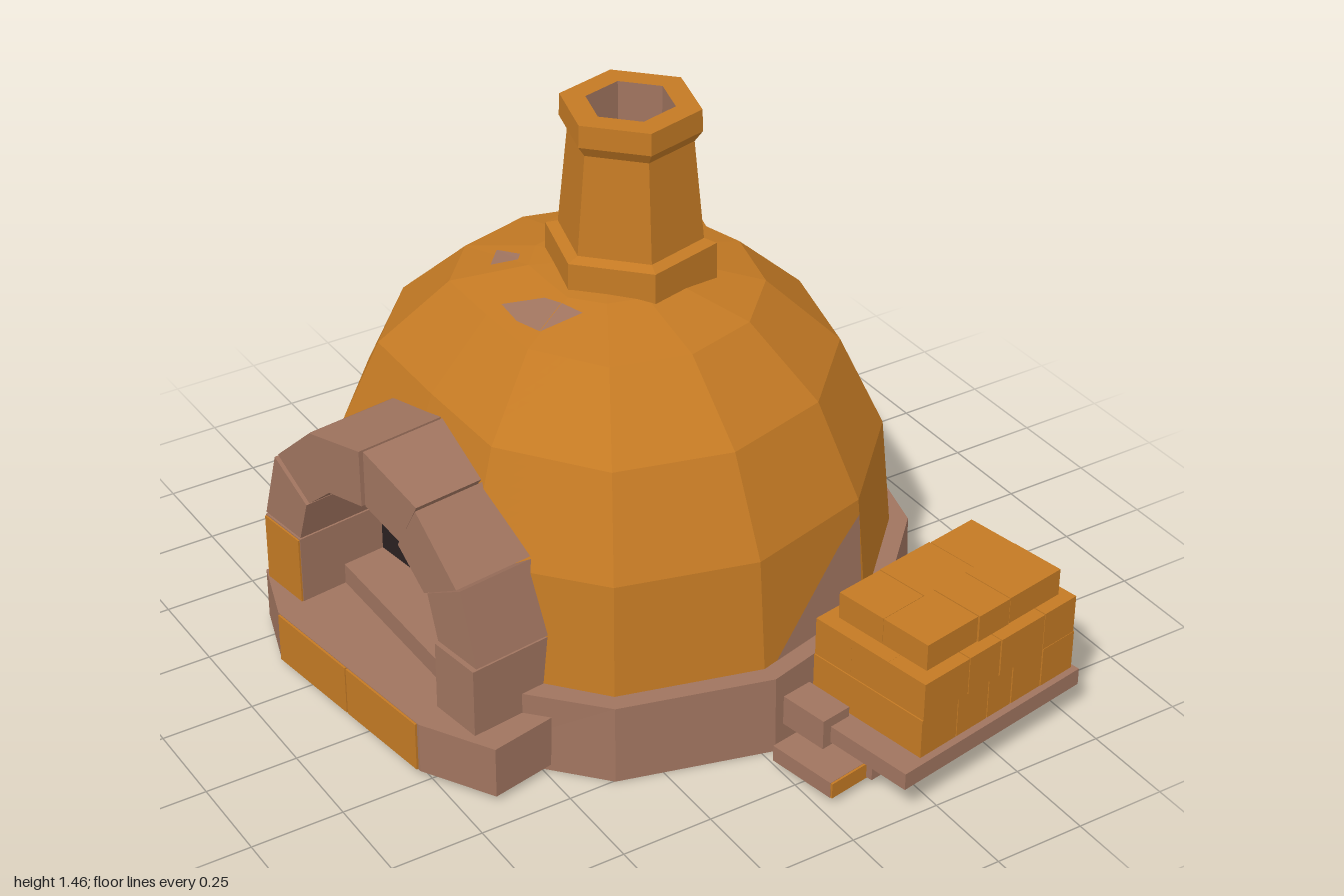
import * as THREE from 'three';

const mat = (name, color) => {
  const m = new THREE.MeshStandardMaterial({ color, flatShading: true });
  m.name = name;
  return m;
};

export function createModel() {
  const clay = mat('ochre clay', 0xc47a24);
  const stone = mat('brown stone', 0xa0745f);
  const dark = mat('dark interior', 0x2a2020);

  const root = new THREE.Group();
  root.name = 'clayOven';
  const add = (parent, name, geo, material, x = 0, y = 0, z = 0) => {
    const m = new THREE.Mesh(geo, material);
    m.name = name;
    m.position.set(x, y, z);
    parent.add(m);
    return m;
  };
  const group = (parent, name, x, z, ry = 0) => {
    const g = new THREE.Group();
    g.name = name;
    g.position.set(x, 0, z);
    g.rotation.y = ry;
    parent.add(g);
    return g;
  };
  const box = (parent, name, material, w, h, d, x, y, z) =>
    add(parent, name, new THREE.BoxGeometry(w, h, d), material, x, y, z);
  const lathe = (pts, n) => new THREE.LatheGeometry(pts.map(p => new THREE.Vector2(...p)), n);
  const shape = pts => new THREE.Shape(pts.map(p => new THREE.Vector2(...p)));
  const extrude = (pts, depth) =>
    new THREE.ExtrudeGeometry(shape(pts), { depth, bevelEnabled: false });
  let seed = 7;
  const rand = () => (seed = (seed * 16807) % 2147483647) / 2147483647;

  const oven = group(root, 'oven', 0.035, -0.2);
  const DOOR = -1.44; // direction the doorway faces

  // Twelve-sided plinth, cut straight behind the doorstep
  const plinth = new THREE.CylinderGeometry(0.805, 0.812, 0.22, 12);
  const pp = plinth.attributes.position;
  for (let i = 0; i < pp.count; i++) pp.setX(i, Math.max(pp.getX(i), -0.675));
  plinth.computeVertexNormals();
  add(oven, 'plinth', plinth, stone, 0, 0.113, 0);

  // Faceted dome, pressed in at the doorway and cut open there
  const rings = [[0.755, 0.22], [0.725, 0.53], [0.605, 0.785], [0.41, 0.963], [0.2, 1.02], [0, 1.035]];
  const dent = { 8: 0.96, 9: 0.84, 10: 0.96 };
  const corner = (ring, k) => {
    const s = dent[k % 12] ?? 1, a = k * Math.PI / 6;
    const [r, y] = rings[ring];
    const lift = s < 1 && ring > 1 && ring < 4 ? 0.015 : 0;
    return new THREE.Vector3(r * s * Math.sin(a), y + lift, r * s * Math.cos(a));
  };
  const onDome = (ring, f, u, v) =>
    corner(ring, f).lerp(corner(ring, f + 1), u)
      .lerp(corner(ring + 1, f).lerp(corner(ring + 1, f + 1), u), v);
  const inDoor = p => {
    const lx = p.x * Math.cos(DOOR) - p.z * Math.sin(DOOR);
    const lz = p.x * Math.sin(DOOR) + p.z * Math.cos(DOOR);
    const up = Math.max(0, p.y - 0.36);
    return lz > 0 && (lx / 0.36) ** 2 + (up / 0.33) ** 2 < 1;
  };
  const surface = tris => {
    const g = new THREE.BufferGeometry().setFromPoints(tris);
    g.computeVertexNormals();
    return g;
  };
  const tris = [];
  for (let ring = 0; ring < 5; ring++) {
    for (let f = 0; f < 12; f++) {
      const n = ring < 3 && f > 6 && f < 11 ? 10 : 1; // finer cells near the doorway
      for (let i = 0; i < n; i++) for (let j = 0; j < n; j++) {
        if (inDoor(onDome(ring, f, (i + 0.5) / n, (j + 0.5) / n))) continue;
        const c = (a, b) => onDome(ring, f, (i + a) / n, (j + b) / n);
        tris.push(c(0, 0), c(1, 0), c(1, 1));
        if (ring < 4) tris.push(c(0, 0), c(1, 1), c(0, 1));
      }
    }
  }
  add(oven, 'dome', surface(tris), clay);

  // Bare patches where the stone shows through the clay
  const patch = (ring, facet, uv) => {
    const p = uv.map(([u, v]) => onDome(ring, facet, u, v));
    const o = onDome(ring, facet, 0, 0);
    const n = onDome(ring, facet, 1, 0).sub(o)
      .cross(onDome(ring, facet, 0, 1).sub(o)).normalize().multiplyScalar(0.007);
    p.forEach(q => q.add(n));
    const t = [];
    for (let i = 1; i < p.length - 1; i++) t.push(p[0], p[i], p[i + 1]);
    add(oven, 'barePatch', surface(t), stone);
  };
  patch(0, 0, [[0.1, 0.03], [0.95, 0.03], [0.98, 0.88], [0.75, 0.7]]);
  patch(3, 9, [[0, 0.25], [0.5, 0.2], [1, 0.3], [1, 0.85], [0.5, 0.75]]);
  patch(3, 10, [[0, 0.3], [0.5, 0.75], [0, 0.85]]);
  patch(3, 7, [[0.25, 0.5], [0.8, 0.5], [0.75, 0.85], [0.5, 0.85]]);

  // Six-sided chimney: collar, tapered stack, flared lip, hollow flue
  const chimney = group(root, 'chimney', 0.105, -0.188, 0.77);
  add(chimney, 'chimneyStack', lathe([
    [0.225, 0.98], [0.223, 1.095], [0.19, 1.105], [0.163, 1.375],
    [0.184, 1.405], [0.182, 1.465], [0.115, 1.465]], 6), clay);
  add(chimney, 'flue', lathe([[0.115, 1.465], [0.11, 1.1], [0, 1.1]], 6), stone);

  // Doorway: step, arch stones and dark opening
  const door = group(oven, 'doorway', 0, 0, DOOR);
  const step = extrude([[-0.46, -0.5], [-0.47, -0.77], [-0.29, -0.855],
    [0.32, -0.855], [0.52, -0.77], [0.5, -0.5]], 0.145);
  step.rotateX(-Math.PI / 2);
  add(door, 'doorStep', step, stone, 0, 0.02, 0);
  for (const x of [-0.135, 0.165])
    box(door, 'stepFacing', clay, 0.295, 0.14, 0.008, x, 0.093, 0.857);

  const gap = 0.008;
  const ell = (rx, ry, a) => [rx * Math.cos(a), 0.36 + ry * Math.sin(a)];
  for (let i = 0; i < 6; i++) {
    const a = i * Math.PI / 6 + gap, b = (i + 1) * Math.PI / 6 - gap;
    add(door, 'archStone', extrude([
      ell(0.29, 0.25, a), ell(0.445, 0.41, a), ell(0.445, 0.41, b), ell(0.29, 0.25, b)],
      0.265 + (i % 2) * 0.008), stone, 0, 0, 0.5);
  }
  for (const s of [-1, 1])
    box(door, 'archLeg', stone, 0.155, 0.2, 0.27, s * 0.367, 0.258, 0.64);
  box(door, 'legFacing', clay, 0.15, 0.19, 0.008, -0.367, 0.26, 0.776);
  const mouth = [[-0.36, 0.17], [0.36, 0.17]];
  for (let i = 0; i <= 6; i++) mouth.push(ell(0.36, 0.33, i * Math.PI / 6));
  add(door, 'darkOpening', new THREE.ShapeGeometry(shape(mouth)), dark, 0, 0, 0.52);

  // Pallet with its runners and a loose offcut
  const stack = group(root, 'brickStack', 0.46, 0.73, 0.18);
  box(stack, 'palletTop', stone, 0.635, 0.048, 0.41, -0.031, 0.112, 0);
  box(stack, 'runner', stone, 0.565, 0.05, 0.22, -0.045, 0.055, -0.035);
  box(stack, 'runnerEnd', clay, 0.008, 0.048, 0.07, 0.239, 0.053, -0.108);
  box(stack, 'offcut', stone, 0.14, 0.046, 0.2, -0.378, 0.048, -0.05);
  box(stack, 'offcutFacing', clay, 0.138, 0.044, 0.008, -0.378, 0.048, 0.052);
  box(stack, 'stoneChip', stone, 0.09, 0.085, 0.14, -0.33, 0.122, -0.12);

  // Courses of bricks, each row with its own uneven joints
  const course = (w, h, d, y, cols, rows, x = 0) => {
    for (let r = 0; r < rows; r++) {
      const cuts = [0];
      for (let c = 1; c < cols; c++) cuts.push((c + (rand() - 0.5) * 0.4) / cols);
      cuts.push(1);
      for (let c = 0; c < cols; c++) {
        const bw = (cuts[c + 1] - cuts[c]) * w;
        box(stack, 'brick', clay, bw - 0.003, h - rand() * 0.003, d / rows - 0.003 + rand() * 0.008,
          x + (cuts[c] - 0.5) * w + bw / 2, y + h / 2, (r + 0.5) * d / rows - d / 2);
      }
    }
  };
  course(0.555, 0.115, 0.37, 0.135, 5, 3);
  course(0.55, 0.11, 0.37, 0.249, 4, 3);
  course(0.48, 0.077, 0.3, 0.358, 3, 2, 0.008);

  return root;
}
